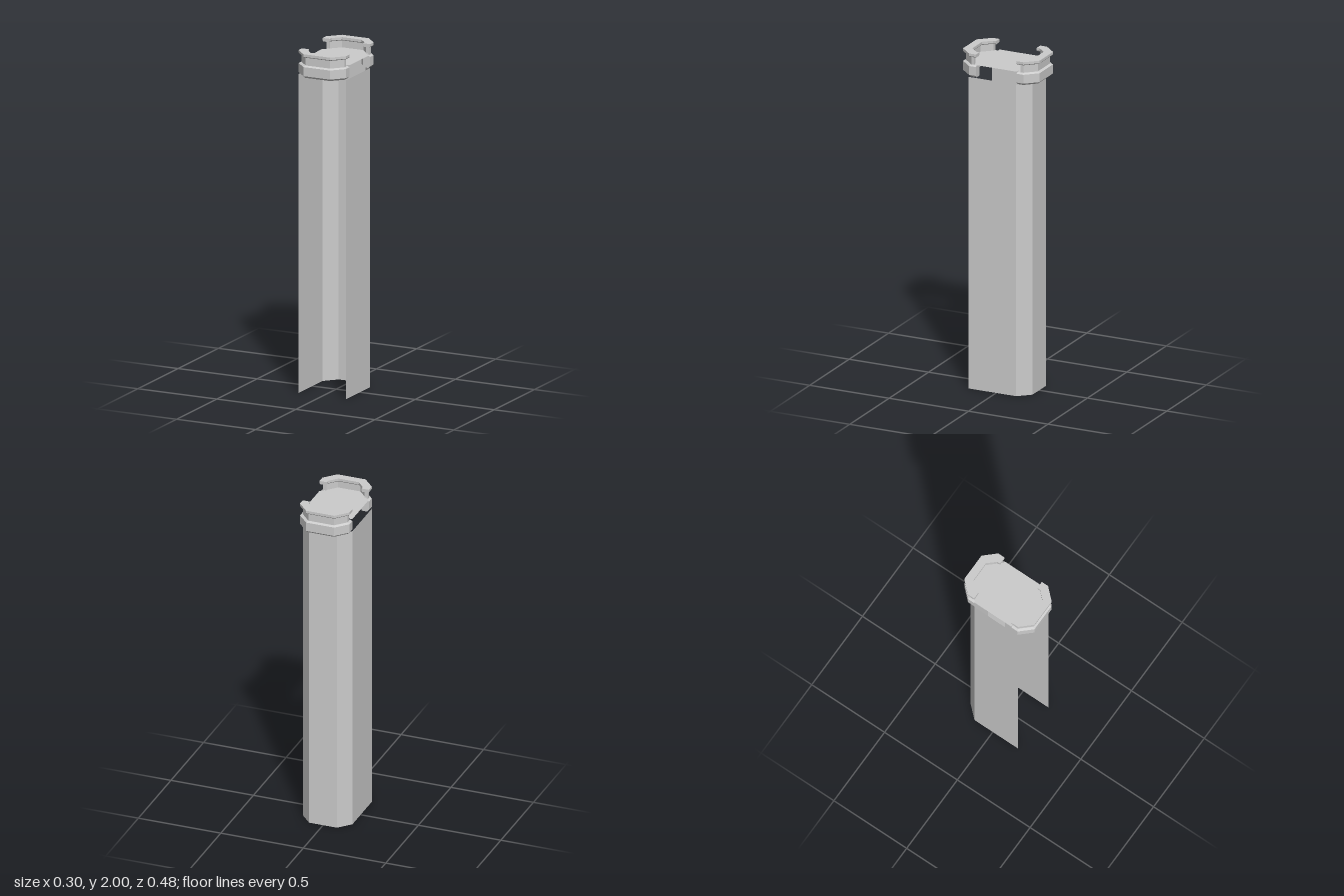
import * as THREE from 'three';

const grey = new THREE.MeshStandardMaterial({ color: 0xcccccc, side: THREE.DoubleSide });
grey.name = 'paleGrey';

// Flat-shaded mesh from quads (arrays of four corners)
function quadMesh(name, quads) {
  const pos = [];
  for (const [a, b, c, d] of quads) pos.push(...a, ...b, ...c, ...a, ...c, ...d);
  const g = new THREE.BufferGeometry();
  g.setAttribute('position', new THREE.Float32BufferAttribute(pos, 3));
  g.computeVertexNormals();
  const m = new THREE.Mesh(g, grey);
  m.name = name;
  return m;
}

// Half-octagon path at inward offset d, from the left end round to the right end
function path(d, endZ) {
  const t = d / 0.045;
  const half = [
    [0.15 - d, endZ],
    [0.15 - d, 0.171 - 0.024 * t],
    [0.085 - 0.023 * t, 0.241 - 0.047 * t],
  ];
  return [...half, ...half.slice().reverse().map(([x, z]) => [-x, z])];
}

// Sweep a closed profile of [inward offset, height] points along the path.
// The profile runs up the outside and down the inside.
function molding(name, profile, endZ) {
  const rings = profile.map(([d, y]) => path(d, endZ).map(([x, z]) => [x, y, z]));
  const quads = [];
  const n = rings.length;
  for (let i = 0; i < n; i++) {
    const a = rings[i], b = rings[(i + 1) % n];
    for (let j = 0; j < a.length - 1; j++) quads.push([a[j], b[j], b[j + 1], a[j + 1]]);
  }
  // End caps, as a strip between the outside and inside of the profile
  for (const k of [0, rings[0].length - 1]) {
    for (let i = 0; i < n / 2 - 1; i++) {
      const q = [rings[i][k], rings[n - 1 - i][k], rings[n - 2 - i][k], rings[i + 1][k]];
      quads.push(k ? q : q.reverse());
    }
  }
  // Wind all faces outward
  quads.forEach((q) => q.reverse());
  return quadMesh(name, quads);
}

// Collar: band, recessed neck and overhanging lip
function collar(name) {
  const g = new THREE.Group();
  g.name = name;
  g.add(
    molding('band', [[0.012, 1.86], [0, 1.872], [0, 1.925], [0.012, 1.932], [0.045, 1.932], [0.045, 1.925], [0.045, 1.872], [0.045, 1.86]], 0.128),
    molding('neck', [[0.014, 1.93], [0.014, 1.985], [0.034, 1.985], [0.034, 1.93]], 0.146),
    molding('lip', [[0.004, 1.98], [0, 1.985], [0, 2], [0.045, 2], [0.045, 1.985], [0.041, 1.98]], 0.128),
  );
  return g;
}

export function createModel() {
  const model = new THREE.Group();
  model.name = 'openColumn';

  // Column shell: thin walls, open at the front and the bottom
  const walls = [[0.15, 0.174], [0.15, -0.126], [0.085, -0.197], [-0.085, -0.197], [-0.15, -0.126], [-0.15, 0.174]];
  const quads = [];
  for (let i = 0; i < walls.length - 1; i++) {
    const [x0, z0] = walls[i], [x1, z1] = walls[i + 1];
    quads.push([[x0, 0, z0], [x1, 0, z1], [x1, 1.86, z1], [x0, 1.86, z0]]);
  }
  model.add(quadMesh('columnShell', quads));

  // Top plate, resting on the two bands with open gaps at the sides
  const quarter = [[0.15, 0.128], [0.13, 0.128], [0.13, 0.16], [0.076, 0.22]];
  const back = quarter.slice().reverse();
  const outline = [
    ...quarter,
    ...back.map(([x, z]) => [-x, z]),
    ...quarter.map(([x, z]) => [-x, -z]),
    ...back.map(([x, z]) => [x, -z]),
  ];
  const shape = new THREE.Shape(outline.map(([x, z]) => new THREE.Vector2(x, z)));
  const plate = new THREE.Mesh(new THREE.ShapeGeometry(shape).rotateX(-Math.PI / 2), grey);
  plate.name = 'topPlate';
  plate.position.y = 1.937;
  model.add(plate);

  // Collars at the front and back
  const front = collar('frontCollar');
  const rear = collar('backCollar');
  rear.rotation.y = Math.PI;
  model.add(front, rear);

  return model;
}
